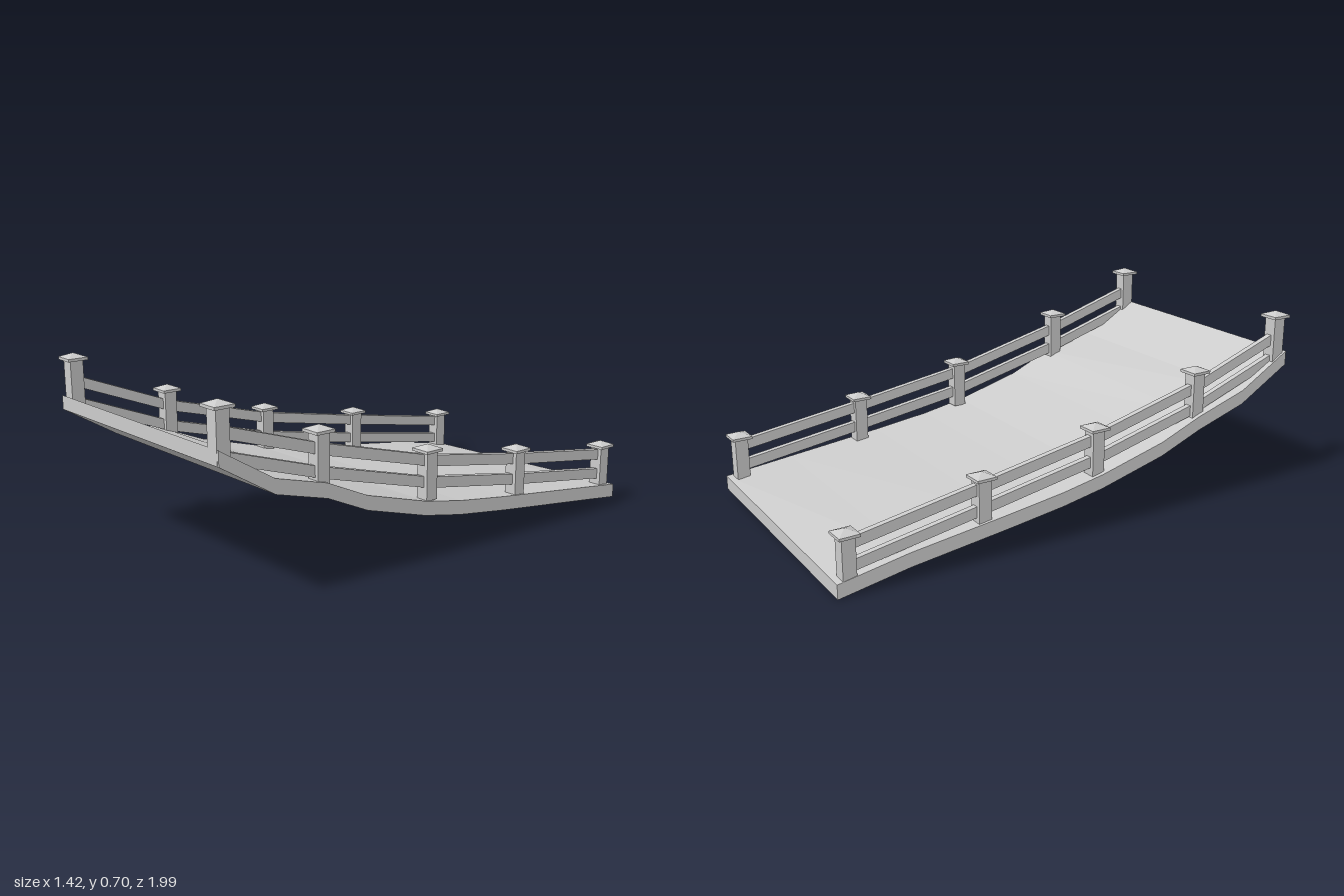
import * as THREE from 'three';

const material = new THREE.MeshStandardMaterial({ color: 0xcccccc, flatShading: true });

// Deck outline: back-left corner plus a width and a length direction
const CORNER = [-0.242, -0.995], WIDTH = [0.951, 0.21], LENGTH = [-0.465, 1.767];
const TURN = -Math.atan2(WIDTH[1], WIDTH[0]);

// Underside heights along both edges, back to front
const STATIONS = [0, 0.14, 0.34, 0.46, 0.55, 0.69, 0.78, 0.89, 1];
const LEFT_EDGE = [0.002, 0.05, 0.1, 0.133, 0.166, 0.237, 0.305, 0.372, 0.494];
const RIGHT_EDGE = [0.037, 0.068, 0.112, 0.142, 0.174, 0.247, 0.322, 0.376, 0.5];
const THICKNESS = 0.052;

// Post positions per side, back to front: x, z, height of the cap tip
const POSTS = {
  minusX: [[-0.228, -0.945, 0.228], [-0.345, -0.466, 0.313], [-0.456, -0.024, 0.4],
    [-0.566, 0.398, 0.538], [-0.667, 0.746, 0.7]],
  plusX: [[0.66, -0.748, 0.27], [0.543, -0.275, 0.342], [0.432, 0.148, 0.418],
    [0.31, 0.592, 0.562], [0.218, 0.952, 0.7]],
};
// Drop from the cap tip to the middle of the upper rail at each post
const RAIL_DROP = [0.055, 0.055, 0.058, 0.08, 0.1];

function addMesh(parent, name, geometry) {
  const mesh = new THREE.Mesh(geometry, material);
  mesh.name = name;
  parent.add(mesh);
  return mesh;
}

// Unit box whose corners are moved by a rule (x, y, z) -> [x, y, z]
function mappedBox(segments, rule) {
  const geometry = new THREE.BoxGeometry(1, 1, 1, 1, 1, segments);
  const p = geometry.attributes.position;
  for (let i = 0; i < p.count; i++) {
    p.setXYZ(i, ...rule(p.getX(i) + 0.5, p.getY(i) + 0.5, p.getZ(i) + 0.5));
  }
  geometry.computeVertexNormals();
  return geometry;
}

function makeDeck() {
  const last = STATIONS.length - 1;
  return mappedBox(last, (u, h, t) => {
    const k = Math.round(t * last), v = STATIONS[k];
    const y = THREE.MathUtils.lerp(LEFT_EDGE[k], RIGHT_EDGE[k], u) + h * THICKNESS;
    return [CORNER[0] + u * WIDTH[0] + v * LENGTH[0], y, CORNER[1] + u * WIDTH[1] + v * LENGTH[1]];
  });
}

// Sloping rail with upright ends between two posts
function makeRail(a, b, yA, yB) {
  const dx = b[0] - a[0], dz = b[1] - a[1], len = Math.hypot(dx, dz);
  const px = dz / len, pz = -dx / len;
  return mappedBox(1, (u, h, t) => {
    const side = (u - 0.5) * 0.022;
    return [a[0] + dx * t + px * side, yA + (yB - yA) * t + (h - 0.5) * 0.04,
      a[1] + dz * t + pz * side];
  });
}

// Square post with a slab and a low pyramid on top
function makePost([x, z, top]) {
  const post = new THREE.Group();
  post.name = 'post';
  post.position.set(x, top, z);
  post.rotation.y = TURN;
  addMesh(post, 'shaft', new THREE.BoxGeometry(0.049, 0.175, 0.049)).position.y = -0.11;
  addMesh(post, 'capSlab', new THREE.BoxGeometry(0.075, 0.01, 0.075)).position.y = -0.02;
  const roof = new THREE.ConeGeometry(0.0375 * Math.SQRT2, 0.015, 4).rotateY(Math.PI / 4);
  addMesh(post, 'capRoof', roof).position.y = -0.0075;
  return post;
}

export function createModel() {
  const bridge = new THREE.Group();
  bridge.name = 'bridgeSection';
  addMesh(bridge, 'deck', makeDeck());

  for (const [side, posts] of Object.entries(POSTS)) {
    const railing = new THREE.Group();
    railing.name = side === 'plusX' ? 'leftRailing' : 'rightRailing';
    posts.forEach((post, i) => {
      railing.add(makePost(post));
      if (i === 0) return;
      const before = posts[i - 1];
      ['upperRail', 'lowerRail'].forEach((name, row) => {
        const yA = before[2] - RAIL_DROP[i - 1] - row * 0.078;
        const yB = post[2] - RAIL_DROP[i] - row * 0.078;
        addMesh(railing, name, makeRail(before, post, yA, yB));
      });
    });
    bridge.add(railing);
  }
  return bridge;
}
